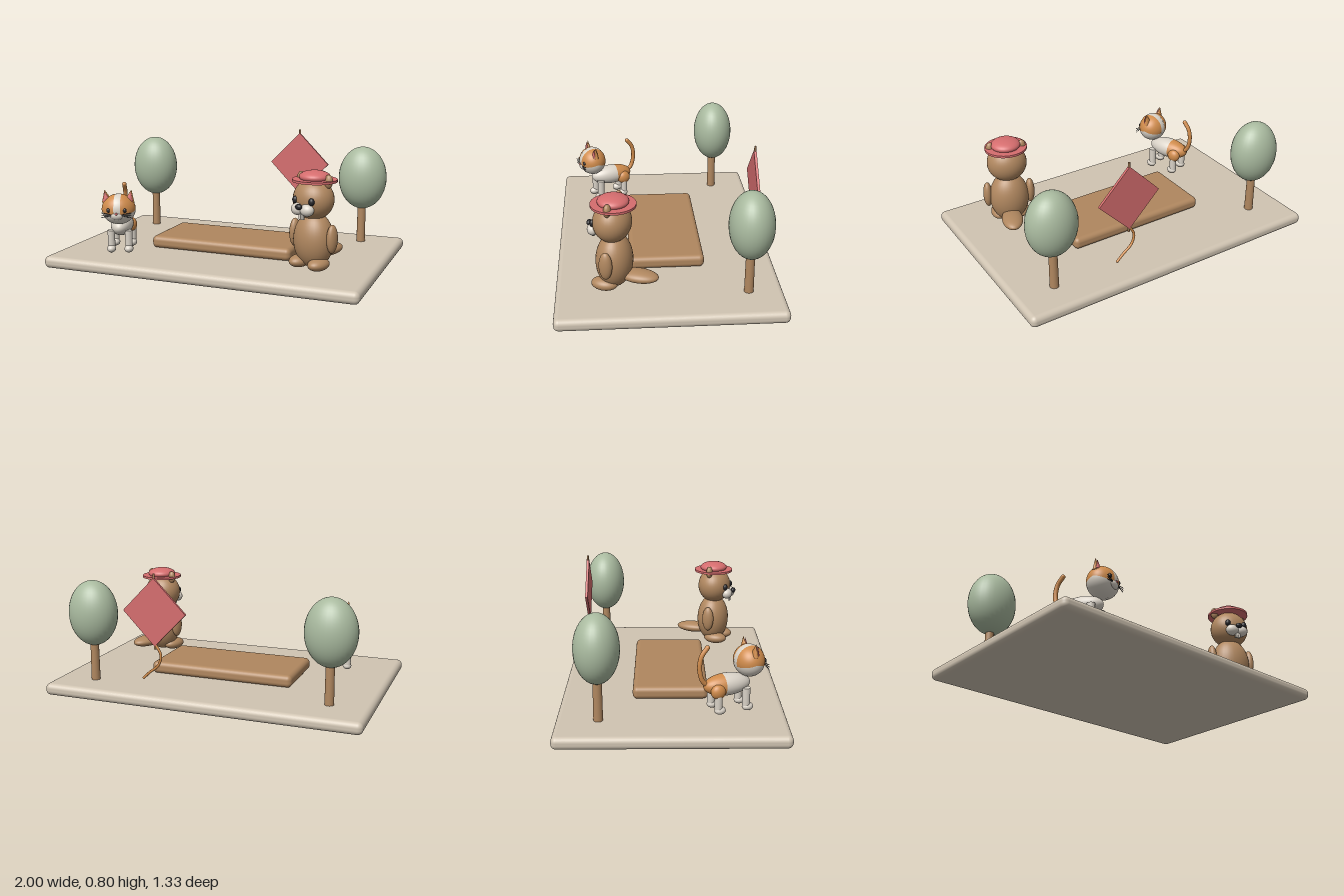
import * as THREE from 'three';
import { RoundedBoxGeometry } from 'three/addons/geometries/RoundedBoxGeometry.js';

const mat = (name, color) => {
  const m = new THREE.MeshStandardMaterial({ color });
  m.name = name;
  return m;
};

export function createModel() {
  const stone = mat('stone', 0xd0c4b2);
  const brown = mat('brown', 0xb0875f);
  const green = mat('sage green', 0xa9ba9f);
  const red = mat('coral red', 0xd56d6e);
  const orange = mat('orange', 0xcf8b4b);
  const white = mat('off white', 0xdad3c8);
  const black = mat('black', 0x26262a);

  const add = (parent, name, geo, material, x = 0, y = 0, z = 0) => {
    const m = new THREE.Mesh(geo, material);
    m.name = name;
    m.position.set(x, y, z);
    parent.add(m);
    return m;
  };
  const ball = (parent, name, material, [x, y, z], [rx, ry, rz]) =>
    add(parent, name, new THREE.SphereGeometry(1, 32, 24).scale(rx, ry, rz), material, x, y, z);
  const tube = (parent, name, material, pts, r) => {
    const curve = new THREE.CatmullRomCurve3(pts.map(p => new THREE.Vector3(...p)));
    add(parent, name, new THREE.TubeGeometry(curve, 32, r, 12), material);
    for (const p of [pts[0], pts[pts.length - 1]]) ball(parent, name + 'End', material, p, [r, r, r]);
  };
  const group = (parent, name, x = 0, z = 0, turn = 0) => {
    const g = new THREE.Group();
    g.name = name;
    g.position.set(x, 0, z);
    g.rotation.y = turn;
    parent.add(g);
    return g;
  };

  const model = new THREE.Group();
  model.name = 'parkScene';

  // Ground slab and raised wooden platform
  add(model, 'base', new RoundedBoxGeometry(2, 0.075, 1.33, 5, 0.032), stone, 0, 0.0375, 0);
  add(model, 'platform', new RoundedBoxGeometry(0.935, 0.078, 0.455, 5, 0.03), brown, 0, 0.115, -0.004);

  // Trees
  for (const [x, z] of [[-0.755, -0.418], [0.748, -0.46]]) {
    const tree = group(model, 'tree', x, z);
    add(tree, 'trunk', new THREE.CylinderGeometry(0.026, 0.028, 0.28, 20), brown, 0, 0.21, 0);
    ball(tree, 'foliage', green, [0, 0.505, 0], [0.157, 0.205, 0.132]);
  }

  // Kite with spar and trailing tail
  const kite = group(model, 'kite', 0.288, -0.543);
  const diamond = new THREE.Shape([[0, 0.77], [-0.203, 0.563], [0, 0.355], [0.203, 0.563]]
    .map(p => new THREE.Vector2(...p)));
  add(kite, 'kiteSail', new THREE.ExtrudeGeometry(diamond, { depth: 0.016, bevelEnabled: false }), red, 0, 0, -0.008);
  add(kite, 'kiteSpar', new THREE.CylinderGeometry(0.0065, 0.0065, 0.46, 12), brown, 0, 0.565, 0);
  tube(kite, 'kiteTail', orange,
    [[0, 0.37, 0], [-0.036, 0.305, 0], [-0.02, 0.24, 0], [0.04, 0.188, 0], [0.08, 0.15, 0]], 0.008);

  // Beaver
  const beaver = group(model, 'beaver', 0.643, 0.315, -0.36);
  ball(beaver, 'body', brown, [0, 0.257, 0], [0.125, 0.168, 0.108]);
  ball(beaver, 'head', brown, [0, 0.5, 0.008], [0.125, 0.12, 0.112]);
  ball(beaver, 'flatTail', brown, [0, 0.172, -0.147], [0.066, 0.036, 0.12]);
  ball(beaver, 'nose', black, [0, 0.474, 0.148], [0.022, 0.017, 0.016]);
  for (const s of [-1, 1]) {
    ball(beaver, 'arm', brown, [s * 0.135, 0.282, 0.005], [0.029, 0.085, 0.04]);
    ball(beaver, 'foot', brown, [s * 0.068, 0.127, 0.04], [0.055, 0.038, 0.08]);
    ball(beaver, 'ear', brown, [s * 0.098, 0.612, 0], [0.026, 0.04, 0.022]);
    ball(beaver, 'cheek', white, [s * 0.032, 0.453, 0.112], [0.043, 0.036, 0.036]);
    ball(beaver, 'eye', black, [s * 0.058, 0.503, 0.106], [0.018, 0.022, 0.016]);
    add(beaver, 'tooth', new THREE.BoxGeometry(0.016, 0.034, 0.012), white, s * 0.009, 0.414, 0.121);
  }
  // Hat
  add(beaver, 'hatBrim', new THREE.CylinderGeometry(0.132, 0.132, 0.014, 40), red, 0, 0.61, 0);
  ball(beaver, 'hatCrown', red, [0, 0.63, 0], [0.092, 0.038, 0.092]);

  // Cat
  const cat = group(model, 'cat', -0.625, 0.32, 0.36);
  const PI = Math.PI, deg = PI / 180;

  // Body in two colour bands along its length
  for (const [name, m, from, to] of [['chest', white, 0, 0.56], ['hindBody', orange, 0.56, 1]])
    add(cat, name, new THREE.SphereGeometry(1, 32, 20, 0, PI * 2, from * PI, (to - from) * PI)
      .rotateX(PI / 2).scale(0.07, 0.066, 0.145), m, 0, 0.242, 0);

  // Head: poles on the x axis, so the blaze is a band and the jaw a wedge
  const headPart = (name, m, phi, phiLen, theta, thetaLen) =>
    add(cat, name, new THREE.SphereGeometry(1, 32, 20, phi * deg, phiLen * deg, theta * deg, thetaLen * deg)
      .rotateZ(PI / 2).scale(0.105, 0.095, 0.09), m, 0.002, 0.37, 0.14);
  headPart('blaze', white, 0, 360, 79, 22);
  for (const theta of [0, 101]) {
    headPart('jaw', white, -75, 150, theta, 79);
    headPart('crown', orange, 75, 210, theta, 79);
  }
  ball(cat, 'muzzle', white, [0, 0.342, 0.212], [0.04, 0.026, 0.022]);
  ball(cat, 'nose', red, [0, 0.356, 0.233], [0.009, 0.007, 0.006]);

  for (const s of [-1, 1]) {
    // Ears with pink inner face
    const ear = add(cat, 'ear', new THREE.ConeGeometry(0.033, 0.075, 20).scale(1, 1, 0.6), orange,
      s * 0.076, 0.455, 0.14);
    ear.rotation.z = -s * 0.2;
    const inner = add(cat, 'innerEar', new THREE.ConeGeometry(0.024, 0.058, 20).scale(1, 1, 0.5), red,
      s * 0.076, 0.453, 0.152);
    inner.rotation.z = -s * 0.2;
    ball(cat, 'eye', black, [s * 0.05, 0.375, 0.216], [0.012, 0.014, 0.01]);
    // Whiskers
    for (const k of [-1, 0, 1]) {
      const w = add(cat, 'whisker', new THREE.CylinderGeometry(0.002, 0.002, 0.06, 6), black,
        s * 0.062, 0.347 + k * 0.009, 0.223);
      w.rotation.z = PI / 2 + s * k * 0.18;
    }
    // Legs and paws
    for (const z of [-0.075, 0.1]) {
      add(cat, 'leg', new THREE.CylinderGeometry(0.024, 0.022, 0.12, 20), white, s * 0.055, 0.165, z);
      ball(cat, 'paw', white, [s * 0.055, 0.108, z + 0.01], [0.028, 0.024, 0.034]);
    }
    ball(cat, 'haunch', orange, [s * 0.05, 0.222, -0.075], [0.034, 0.045, 0.045]);
  }
  // Upright tail
  tube(cat, 'tail', orange,
    [[0, 0.245, -0.12], [0, 0.285, -0.155], [0, 0.36, -0.172], [0, 0.43, -0.16], [0, 0.478, -0.125]], 0.014);

  return model;
}
